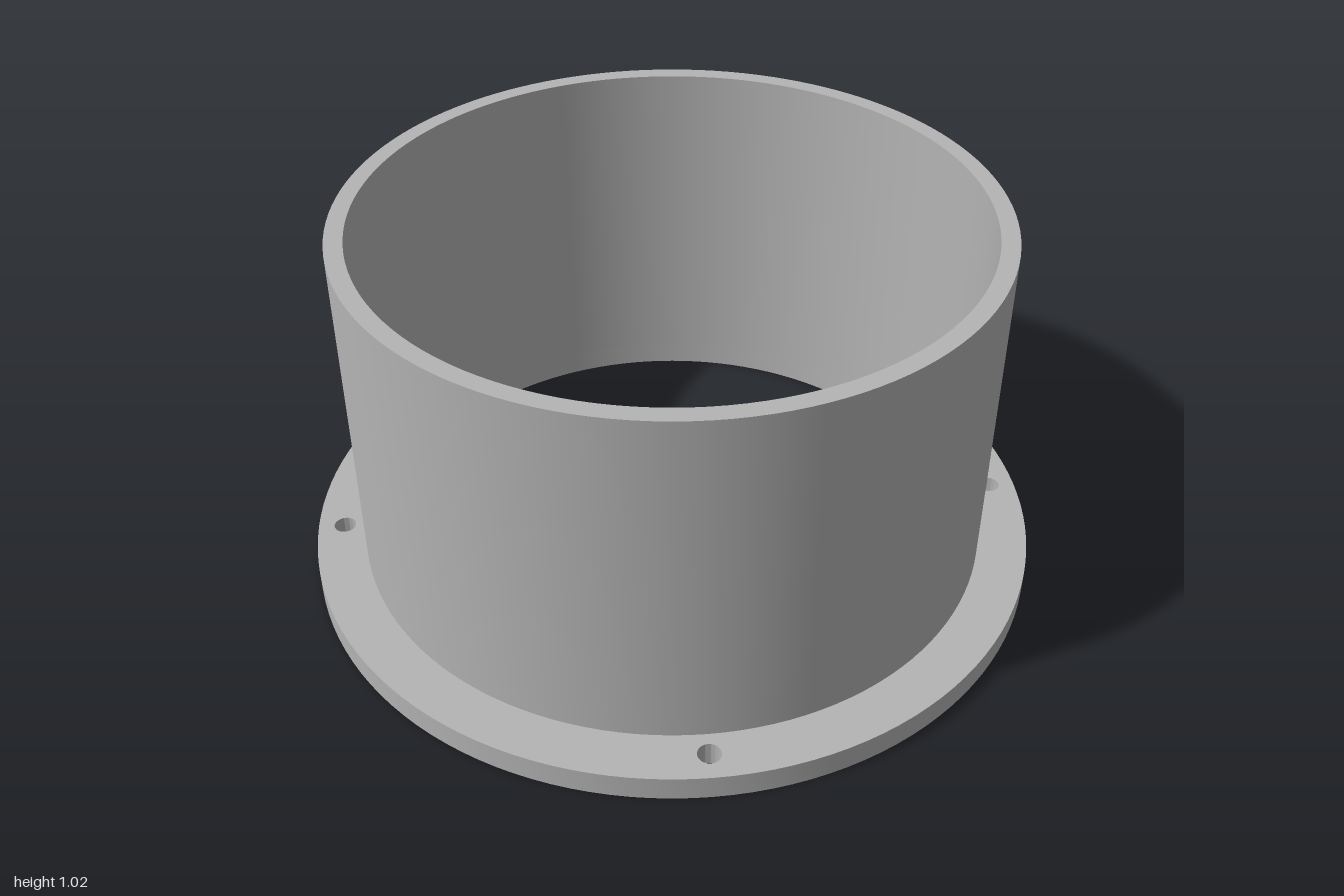
import * as THREE from 'three';
import { toCreasedNormals } from 'three/addons/utils/BufferGeometryUtils.js';

const FLANGE_R = 1, OUTER_R = 0.865, INNER_R = 0.817;
const FLANGE_H = 0.068, HEIGHT = 1.02;
const HOLE_R = 0.03, HOLE_POS = 0.655;

function circleHole(x, y, r) {
  return new THREE.Path().absarc(x, y, r, 0, Math.PI * 2, true);
}

export function createModel() {
  const group = new THREE.Group();
  group.name = 'flangedCollar';
  const grey = new THREE.MeshStandardMaterial({ color: 0xb4b4b4 });
  grey.name = 'grey';

  // Base flange: flat ring with the bore and four bolt holes
  const ring = new THREE.Shape().absarc(0, 0, FLANGE_R, 0, Math.PI * 2, false);
  ring.holes.push(circleHole(0, 0, INNER_R));
  for (const sx of [-1, 1]) {
    for (const sy of [-1, 1]) ring.holes.push(circleHole(sx * HOLE_POS, sy * HOLE_POS, HOLE_R));
  }
  const flangeGeo = new THREE.ExtrudeGeometry(ring, { depth: FLANGE_H, bevelEnabled: false, curveSegments: 64 });
  flangeGeo.rotateX(-Math.PI / 2);
  const flange = new THREE.Mesh(toCreasedNormals(flangeGeo, 0.6), grey);
  flange.name = 'flange';
  group.add(flange);

  // Tube wall: outer face, top rim and inner face, open where it meets the flange
  const profile = [
    [OUTER_R, FLANGE_H], [OUTER_R, HEIGHT], [INNER_R, HEIGHT], [INNER_R, FLANGE_H],
  ].map(([r, y]) => new THREE.Vector2(r, y));
  const tube = new THREE.Mesh(toCreasedNormals(new THREE.LatheGeometry(profile, 128), 0.6), grey);
  tube.name = 'tube';
  group.add(tube);

  return group;
}
